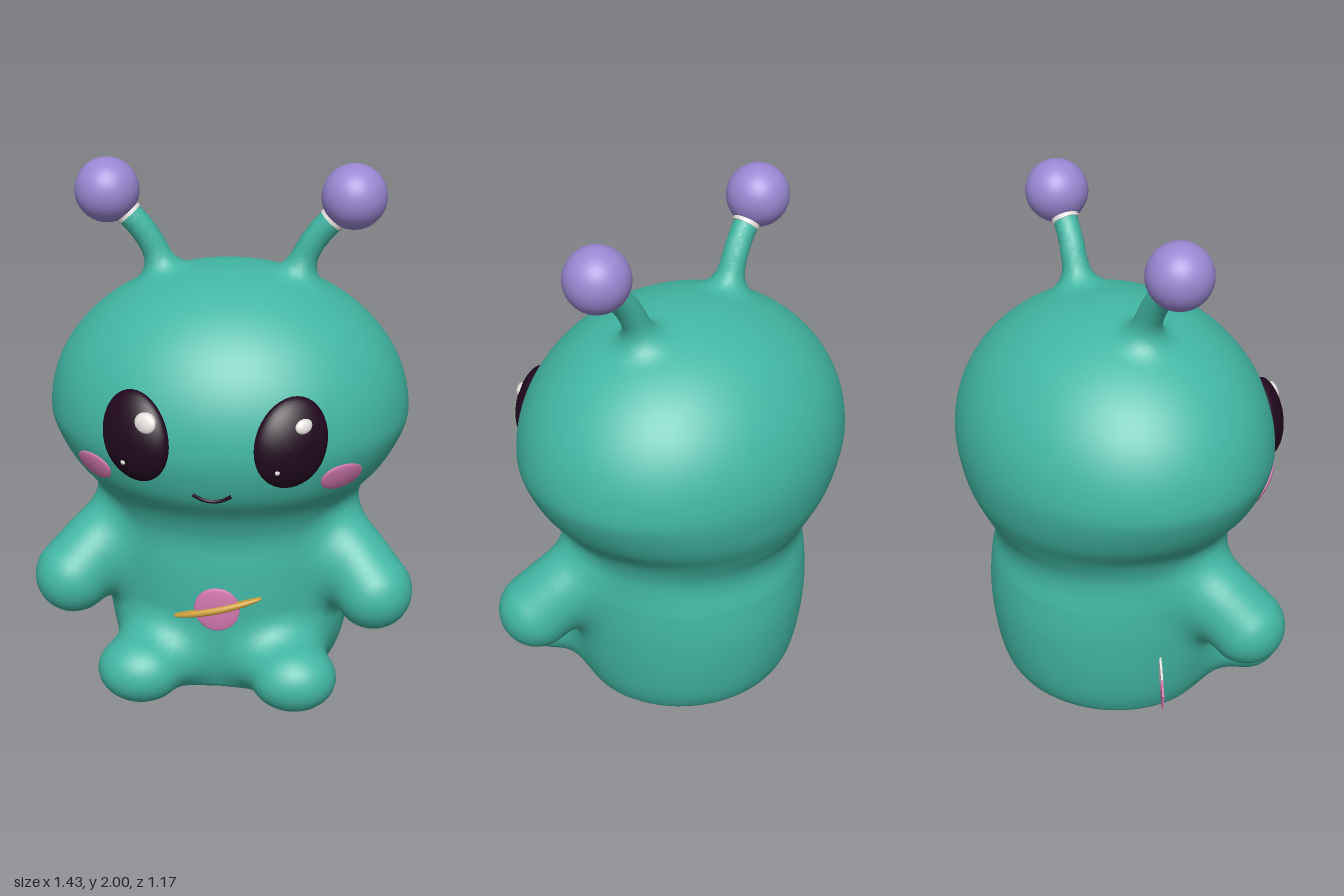
import * as THREE from 'three';

const mat = (name, color, side = THREE.FrontSide) =>
  Object.assign(new THREE.MeshStandardMaterial({ color, side }), { name });

// Body sections below the head's widest level: height, half width, front depth, back depth
const ROWS = [
  [0.012, 0.26, 0.23, 0.27], [0.035, 0.38, 0.33, 0.37], [0.08, 0.425, 0.37, 0.43],
  [0.2, 0.46, 0.40, 0.472], [0.4, 0.483, 0.41, 0.495], [0.55, 0.487, 0.41, 0.485],
  [0.65, 0.482, 0.405, 0.465], [0.72, 0.485, 0.415, 0.475], [0.8, 0.515, 0.45, 0.515],
  [0.9, 0.595, 0.52, 0.56], [1.0, 0.65, 0.555, 0.582], [1.08, 0.672, 0.565, 0.588],
];
const HEAD_Y = 1.08, HEAD_H = 0.54, LAST = ROWS.length - 1;

// Smooth section [half width, front, back] up to the head's widest level
function section(y) {
  if (y >= HEAD_Y) return ROWS[LAST].slice(1);
  y = Math.max(y, ROWS[0][0]);
  let i = 0;
  while (i < LAST - 1 && y > ROWS[i + 1][0]) i++;
  const slope = (j, c) => {
    if (j === LAST) return 0;
    const a = ROWS[Math.max(0, j - 1)], b = ROWS[j + 1];
    return (b[c] - a[c]) / (b[0] - a[0]);
  };
  const h = ROWS[i + 1][0] - ROWS[i][0], t = (y - ROWS[i][0]) / h;
  return [1, 2, 3].map(c =>
    ROWS[i][c] * (1 + 2 * t) * (1 - t) ** 2 + slope(i, c) * h * t * (1 - t) ** 2 +
    ROWS[i + 1][c] * t * t * (3 - 2 * t) + slope(i + 1, c) * h * t * t * (t - 1));
}
const crown = y => Math.max(0, y - HEAD_Y) / HEAD_H;

// Depth of the body's front surface
function frontZ(x, y) {
  const [rx, zf] = section(y);
  return zf * Math.sqrt(Math.max(0, 1 - (x / rx) ** 2 - crown(y) ** 2));
}

// Signed distance to head and torso: stacked ellipses with an ellipsoid crown and flat base
function torsoDistance([x, y, z]) {
  const [rx, zf, zb] = section(y), rz = z > 0 ? zf : zb, c = crown(y);
  const rho = Math.hypot(x / rx, z / rz, c);
  const slope = Math.hypot(x / rx ** 2, z / rz ** 2, c / HEAD_H) / Math.max(rho, 1e-6);
  return Math.max((rho - 1) / Math.max(slope, 1), 0.012 - y);
}

// Round limb through [x, y, z, radius] points; k is the width of its blend into the body
function makeLimb(name, points, k, scale = [1, 1, 1]) {
  const curve = new THREE.CatmullRomCurve3(points.map(p => new THREE.Vector3(p[0], p[1], p[2])));
  const steps = 12, knots = [];
  for (let i = 0; i <= steps; i++) {
    const f = i / steps * (points.length - 1), j = Math.min(Math.floor(f), points.length - 2);
    knots.push([...curve.getPoint(i / steps).toArray(), THREE.MathUtils.lerp(points[j][3], points[j + 1][3], f - j)]);
  }
  const distance = p => {
    const q = p.map((v, c) => v / scale[c]);
    let best = Infinity;
    for (let i = 0; i < steps; i++) {
      const a = knots[i], b = knots[i + 1];
      const ux = b[0] - a[0], uy = b[1] - a[1], uz = b[2] - a[2];
      const vx = q[0] - a[0], vy = q[1] - a[1], vz = q[2] - a[2];
      const t = Math.min(1, Math.max(0, (ux * vx + uy * vy + uz * vz) / (ux * ux + uy * uy + uz * uz)));
      best = Math.min(best, Math.hypot(vx - ux * t, vy - uy * t, vz - uz * t) - a[3] - (b[3] - a[3]) * t);
    }
    return best * Math.min(...scale);
  };
  return { name, k, distance };
}

// Skins torso and limbs as one soft surface, returned as one geometry per part
function blendedSkin(limbs) {
  const field = p => {
    const body = torsoDistance(p);
    let f = body;
    for (const limb of limbs) {
      const d = limb.distance(p), h = Math.max(limb.k - Math.abs(body - d), 0) / limb.k;
      f = Math.min(f, Math.min(body, d) - h * h * limb.k / 4);
    }
    return f;
  };
  const gradient = p => [0, 1, 2].map(c => {
    const a = [...p], b = [...p];
    a[c] += 0.003; b[c] -= 0.003;
    return (field(a) - field(b)) / 0.006;
  });
  const nearest = p => {
    const ds = [torsoDistance(p), ...limbs.map(l => l.distance(p))];
    return ds.indexOf(Math.min(...ds));
  };

  // Sample the field on a grid
  const h = 0.025, lo = [-0.7755, -0.041, -0.638], size = [63, 78, 51];
  const stride = [1, size[0], size[0] * size[1]], values = new Float32Array(stride[2] * size[2]);
  const at = (i, j, k) => [lo[0] + i * h, lo[1] + j * h, lo[2] + k * h];
  const each = fn => {
    for (let k = 1; k < size[2] - 1; k++) for (let j = 1; j < size[1] - 1; j++)
      for (let i = 1; i < size[0] - 1; i++) fn(i, j, k, i + j * stride[1] + k * stride[2]);
  };
  values.fill(1);
  each((i, j, k, id) => { values[id] = field(at(i, j, k)); });

  // One vertex per crossed cell, settled onto the surface
  const vertex = new Int32Array(values.length), pos = [], nor = [], part = [];
  each((i, j, k, id) => {
    const corner = Array.from({ length: 8 }, (_, c) =>
      values[id + (c & 1) + (c >> 1 & 1) * stride[1] + (c >> 2) * stride[2]]);
    const sum = [0, 0, 0];
    let count = 0;
    for (let a = 0; a < 8; a++) for (let axis = 0; axis < 3; axis++) {
      const b = a | 1 << axis;
      if (a === b || corner[a] < 0 === corner[b] < 0) continue;
      const t = corner[a] / (corner[a] - corner[b]);
      for (let c = 0; c < 3; c++) sum[c] += (a >> c & 1) + (c === axis ? t : 0);
      count++;
    }
    if (!count) return;
    let p = at(i, j, k).map((v, c) => v + sum[c] / count * h), g;
    for (let n = 0; n < 2; n++) {
      g = gradient(p);
      const s = field(p) / Math.max(0.2, g[0] ** 2 + g[1] ** 2 + g[2] ** 2);
      p = p.map((v, c) => v - THREE.MathUtils.clamp(s * g[c], -h / 3, h / 3));
    }
    vertex[id] = part.length;
    part.push(nearest(p));
    pos.push(...p);
    nor.push(...new THREE.Vector3(...gradient(p)).normalize().toArray());
  });

  // One quad per crossed grid edge, sorted by part
  const index = [[], ...limbs.map(() => [])];
  each((i, j, k, id) => {
    for (let a = 0; a < 3; a++) {
      const inside = values[id] < 0, B = stride[(a + 1) % 3], C = stride[(a + 2) % 3];
      if (inside === values[id + stride[a]] < 0) continue;
      const q = [id - B - C, id - C, id, id - B].map(v => vertex[v]);
      if (!inside) q.reverse();
      index[part[q[0]]].push(q[0], q[1], q[2], q[0], q[2], q[3]);
    }
  });
  const position = new THREE.Float32BufferAttribute(pos, 3), normal = new THREE.Float32BufferAttribute(nor, 3);
  return index.map(list => new THREE.BufferGeometry()
    .setAttribute('position', position).setAttribute('normal', normal).setIndex(list));
}

// Oval patch that follows the body's front, raised by base plus a dome
function patch(cx, cy, a, b, tilt, base, dome) {
  const n = 40, pos = [], idx = [];
  for (let i = 0; i <= 11; i++) for (let j = 0; j < n; j++) {
    const r = i === 0 ? 1 : Math.max(0.001, Math.cos((i - 1) / 10 * Math.PI / 2));
    const t = j / n * Math.PI * 2, u = a * r * Math.cos(t), v = b * r * Math.sin(t);
    const x = cx + u * Math.cos(tilt) - v * Math.sin(tilt);
    const y = cy + u * Math.sin(tilt) + v * Math.cos(tilt);
    pos.push(x, y, frontZ(x, y) + (i === 0 ? -0.01 : base + dome * Math.sqrt(1 - r * r)));
    const p = i * n + j, q = i * n + (j + 1) % n;
    if (i < 11) idx.push(p, q, p + n, q, q + n, p + n);
  }
  const g = new THREE.BufferGeometry().setAttribute('position', new THREE.Float32BufferAttribute(pos, 3)).setIndex(idx);
  g.computeVertexNormals();
  return g;
}

export function createModel() {
  const model = new THREE.Group();
  const skin = mat('teal skin', 0x42b7a4), purple = mat('lilac', 0x9a88d3);
  const dark = mat('dark plum', 0x22081f), pink = mat('pink', 0xd479b0);
  const white = mat('off white', 0xe4e0de), gold = mat('gold', 0xcfa03a);
  const add = (name, geometry, material) => {
    const m = new THREE.Mesh(geometry, material);
    m.name = name;
    model.add(m);
    return m;
  };

  const limbs = [];
  for (const [s, side] of [[1, 'left'], [-1, 'right']]) {
    // Arms, legs and antenna stalks
    limbs.push(
      makeLimb(side + 'Arm', [[s * 0.3, 0.65, 0.07, 0.15], [s * 0.43, 0.585, 0.145, 0.14], [s * 0.57, 0.445, 0.25, 0.146]], 0.1),
      makeLimb(side + 'Leg', [[s * 0.13, 0.21, 0.16, 0.16], [s * 0.2, 0.19, 0.32, 0.148], [s * 0.25, 0.172, 0.425, 0.14]],
        0.1, [1.15, 0.9, 1]),
      makeLimb(side + 'AntennaStalk', [[s * 0.24, 1.52, -0.02, 0.055], [s * 0.255, 1.6, -0.02, 0.052],
        [s * 0.283, 1.675, -0.018, 0.048], [s * 0.33, 1.75, -0.012, 0.047], [s * 0.4, 1.825, -0.005, 0.047]], 0.09));

    // Antenna collar and ball
    const collar = add(side + 'AntennaCollar', new THREE.CylinderGeometry(0.051, 0.051, 0.034, 20), white);
    collar.position.set(s * 0.378, 1.803, -0.007);
    collar.rotation.z = -s * 0.75;
    add(side + 'AntennaBall', new THREE.SphereGeometry(0.118, 40, 28), purple).position.set(s * 0.447, 1.882, -0.003);

    // Eye with two glints, and cheek
    const ex = s * 0.272, glint = s > 0 ? 0.028 : 0.039;
    add(side + 'Eye', patch(ex, 1.13, 0.124, 0.164, -s * 0.1, 0.006, 0.048), dark);
    add(side + 'EyeGlint', patch(ex + 0.044, 1.207, glint, glint * 0.88, 0, 0.044, 0.016), white);
    add(side + 'EyeSmallGlint', patch(ex - 0.04, 1.05, 0.009, 0.009, 0, 0.044, 0.008), white);
    add(side + 'Cheek', patch(s * 0.445, 0.968, 0.07, 0.054, s * 0.08, 0.007, 0.01), pink);
  }
  blendedSkin(limbs).forEach((g, i) => add(i ? limbs[i - 1].name : 'body', g, skin));

  // Smile
  const smile = [-1, -0.5, 0, 0.5, 1].map(t => {
    const x = t * 0.07, y = 0.908 + 0.028 * t * t;
    return new THREE.Vector3(x, y, frontZ(x, y) + 0.002);
  });
  add('mouth', new THREE.TubeGeometry(new THREE.CatmullRomCurve3(smile), 24, 0.007, 8), dark);

  // Belly emblem: disc and tilted band
  add('bellyDisc', patch(0, 0.413, 0.085, 0.088, 0, 0.006, 0.008), pink);
  add('bellyBand', patch(0, 0.414, 0.17, 0.0135, 0.275, 0.014, 0.012), gold);

  // Side tag: white strip with a pink end, swept backwards
  const tag = (name, x, y, z, w, angle, m) => {
    const t = add(name, new THREE.BoxGeometry(w, 0.08, 0.008), m);
    t.position.set(x, y, z);
    t.rotation.set(0, -0.46, angle);
  };
  tag('tagStrip', -0.50, 0.294, -0.08, 0.14, 0.2, white);
  tag('tagEnd', -0.59, 0.267, -0.125, 0.072, 0.27, pink);
  return model;
}
